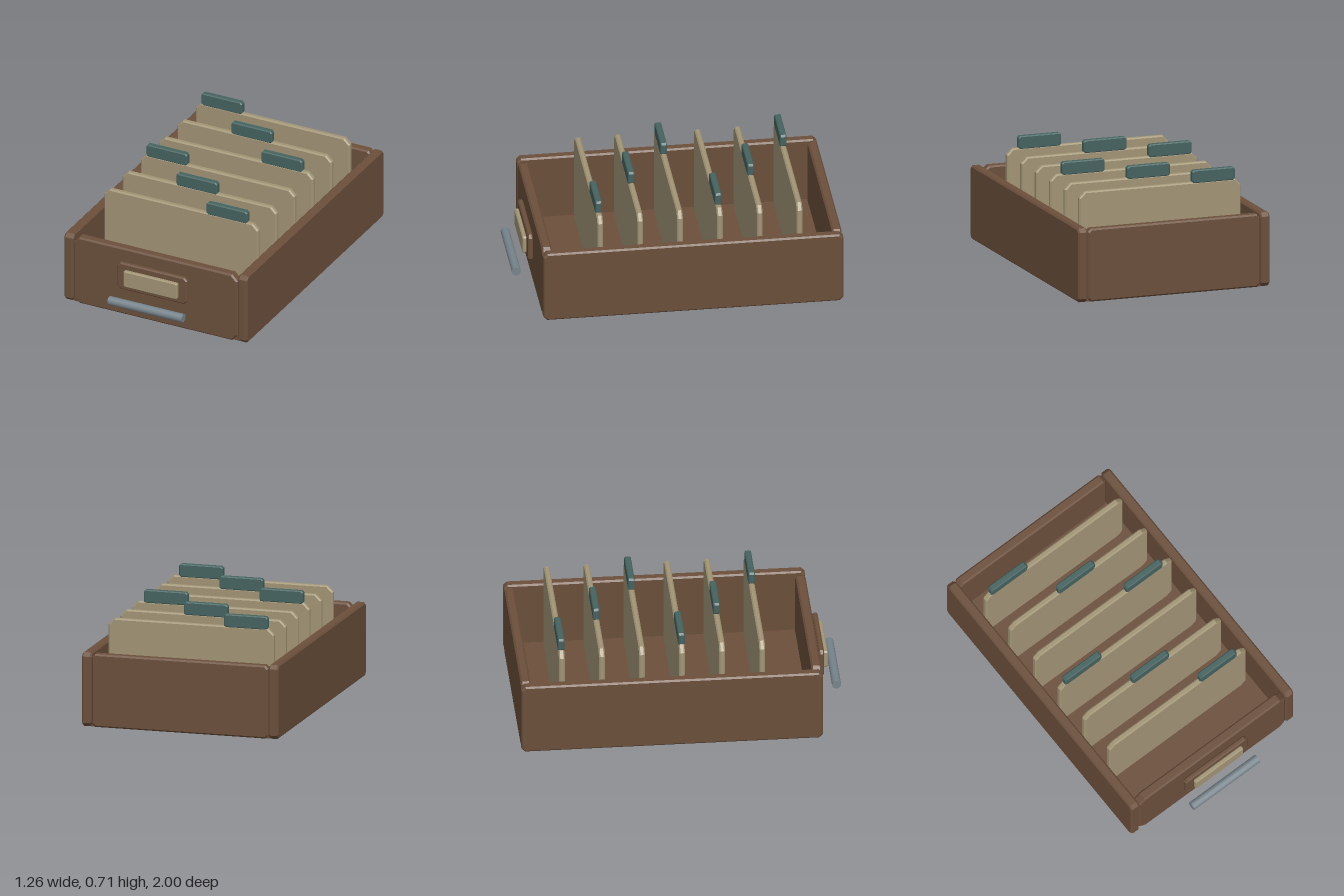
import * as THREE from 'three';

const material = (name, color) => {
  const m = new THREE.MeshStandardMaterial({ color });
  m.name = name;
  return m;
};

// Board centred on its own middle, with cut corners and bevelled rims
function boardGeometry(w, h, d, cut, bevel) {
  const x = w / 2 - bevel, y = h / 2 - bevel;
  const shape = new THREE.Shape([
    [-x + cut, -y], [x - cut, -y], [x, -y + cut], [x, y - cut],
    [x - cut, y], [-x + cut, y], [-x, y - cut], [-x, -y + cut],
  ].map(([px, py]) => new THREE.Vector2(px, py)));
  const g = new THREE.ExtrudeGeometry(shape, {
    depth: d - 2 * bevel, bevelEnabled: true, bevelSegments: 1,
    bevelSize: bevel, bevelThickness: bevel,
  });
  return g.translate(0, 0, -d / 2 + bevel);
}

export function createModel() {
  const model = new THREE.Group();
  model.name = 'cardFileDrawer';
  const wood = material('brown wood', 0x6b4f3b);
  const card = material('tan card', 0xa29576);
  const teal = material('teal tab', 0x456360);
  const metal = material('grey metal', 0x77848c);

  const add = (name, geometry, mat, x, y, z) => {
    const mesh = new THREE.Mesh(geometry, mat);
    mesh.name = name;
    mesh.position.set(x, y, z);
    model.add(mesh);
    return mesh;
  };

  // Drawer box
  const side = boardGeometry(1.855, 0.464, 0.062, 0.018, 0.01).rotateY(Math.PI / 2);
  add('leftSide', side, wood, 0.598, 0.233, -0.0725);
  add('rightSide', side, wood, -0.598, 0.233, -0.0725);
  add('frontPanel', boardGeometry(1.13, 0.458, 0.062, 0.035, 0.01), wood, 0, 0.231, 0.822);
  add('backPanel', boardGeometry(1.13, 0.458, 0.06, 0.014, 0.01), wood, 0, 0.231, -0.968);
  add('floor', new THREE.BoxGeometry(1.14, 0.05, 1.81), wood, 0, 0.026, -0.0725);

  // Divider cards, with tabs stepping across in three positions
  const divider = boardGeometry(1.06, 0.585, 0.036, 0.034, 0.008);
  const tab = boardGeometry(0.28, 0.082, 0.04, 0.008, 0.006);
  const tabX = [0.315, -0.018, -0.35];
  for (let i = 0; i < 6; i++) {
    const z = 0.49 - i * 0.2465;
    add('divider' + (i + 1), divider, card, 0, 0.344, z);
    add('tab' + (i + 1), tab, teal, tabX[i % 3], 0.67, z);
  }

  // Label holder and pull bar
  add('labelFrame', boardGeometry(0.48, 0.182, 0.032, 0.016, 0.008), wood, 0, 0.291, 0.882);
  add('labelCard', boardGeometry(0.37, 0.11, 0.028, 0.004, 0.006), card, 0, 0.29, 0.911);
  const bar = new THREE.CylinderGeometry(0.028, 0.028, 0.51, 14).rotateZ(Math.PI / 2);
  add('pullBar', bar, metal, 0, 0.148, 0.972);

  return model;
}
